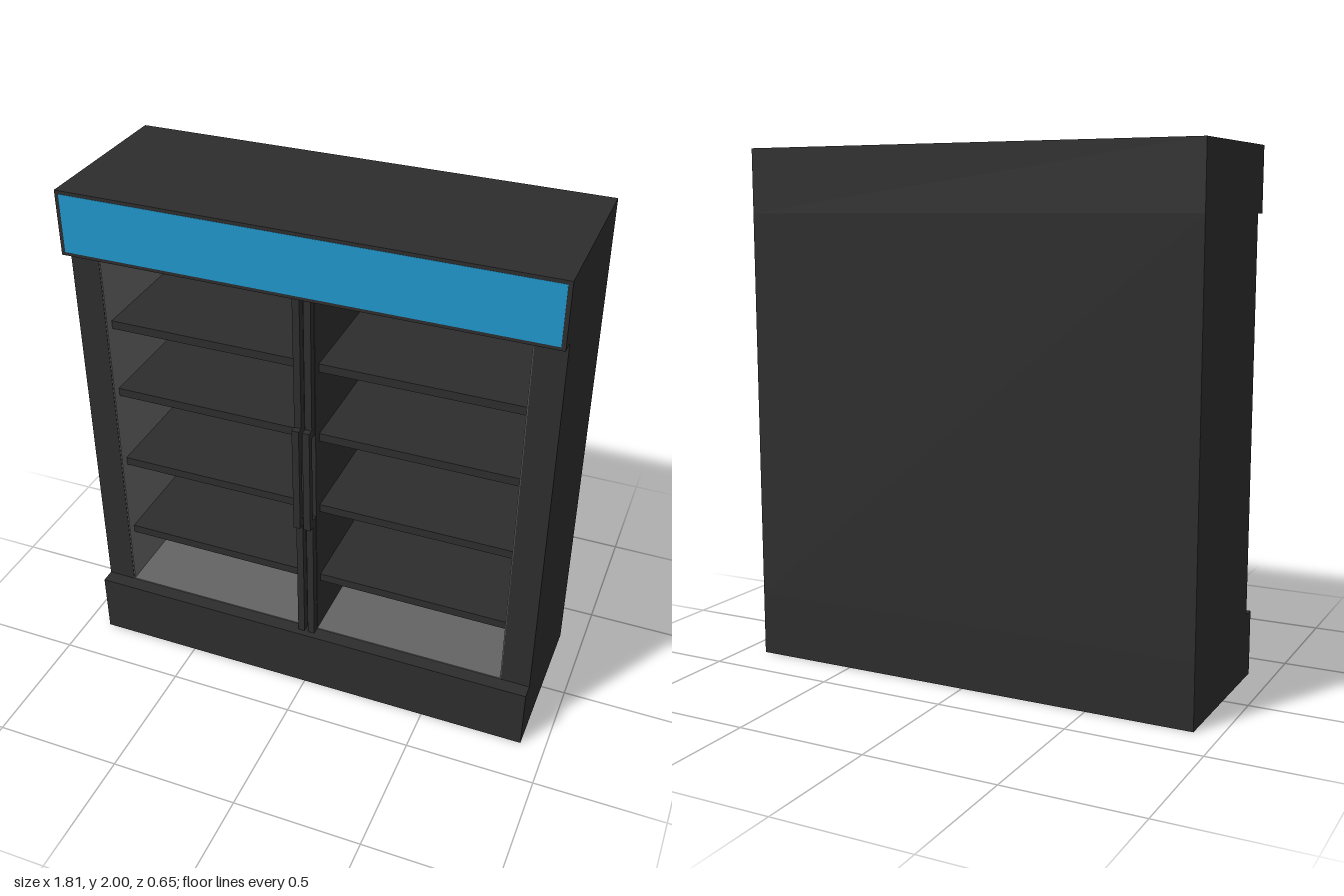
import * as THREE from 'three';

export function createModel() {
  const model = new THREE.Group();
  model.name = 'displayCooler';

  const material = (name, color) => {
    const m = new THREE.MeshStandardMaterial({ color });
    m.name = name;
    return m;
  };
  const casing = material('charcoal casing', 0x2d2d2d);
  const lining = material('grey lining', 0x636363);
  const signBlue = material('blue sign', 0x2196cc);

  // Box given by its lower and upper limits on each axis
  const box = (name, mat, [x0, x1], [y0, y1], [z0, z1]) => {
    const mesh = new THREE.Mesh(new THREE.BoxGeometry(x1 - x0, y1 - y0, z1 - z0), mat);
    mesh.position.set((x0 + x1) / 2, (y0 + y1) / 2, (z0 + z1) / 2);
    mesh.name = name;
    model.add(mesh);
  };
  // Same extents mirrored to the chosen side
  const side = (s, a, b) => (s > 0 ? [a, b] : [-b, -a]);

  const W = 0.905, D = 0.325, FRONT = 0.27, BACK = -0.29;
  const INNER = 0.793, MID = 0.036, FLOOR = 0.25, CEIL = 1.755;
  const T = 0.004; // lining thickness

  // Outer casing
  box('base', casing, [-W, W], [0, FLOOR], [-D, D]);
  box('header', casing, [-W, W], [CEIL, 2], [-D, D]);
  box('backPanel', casing, [-W, W], [FLOOR, CEIL], [-D, BACK]);
  box('centreDivider', casing, [-MID, MID], [FLOOR, CEIL], [BACK, FRONT]);

  // Sign plate set in a narrow border
  box('signPanel', signBlue, [-0.89, 0.89], [1.768, 1.987], [D - 0.003, D + 0.001]);

  for (const s of [-1, 1]) {
    const label = s > 0 ? 'left' : 'right';
    const bay = side(s, MID, INNER);
    box(label + 'SideWall', casing, side(s, INNER, W), [FLOOR, CEIL], [BACK, FRONT]);

    // Pale lining of each bay
    box(label + 'BackLining', lining, bay, [FLOOR, CEIL], [BACK, BACK + T]);
    box(label + 'FloorLining', lining, bay, [FLOOR, FLOOR + T], [BACK, FRONT]);
    box(label + 'CeilingLining', lining, bay, [CEIL - T, CEIL], [BACK, FRONT]);
    box(label + 'SideLining', lining, side(s, INNER - T, INNER), [FLOOR, CEIL], [BACK, FRONT - 0.002]);

    // Shelves, slightly behind the opening
    for (const y of [0.475, 0.815, 1.138, 1.432]) {
      box(label + 'Shelf', casing, bay, [y, y + 0.033], [BACK, 0.235]);
    }

    // Door strips with a raised grip bridging the gap between them
    const strip = side(s, 0.007, 0.034);
    box(label + 'LowerStrip', casing, strip, [FLOOR, 0.815], [FRONT, 0.3]);
    box(label + 'UpperStrip', casing, strip, [1.19, CEIL], [FRONT, 0.3]);
    box(label + 'Handle', casing, strip, [0.785, 1.222], [0.3, D]);
  }
  return model;
}
